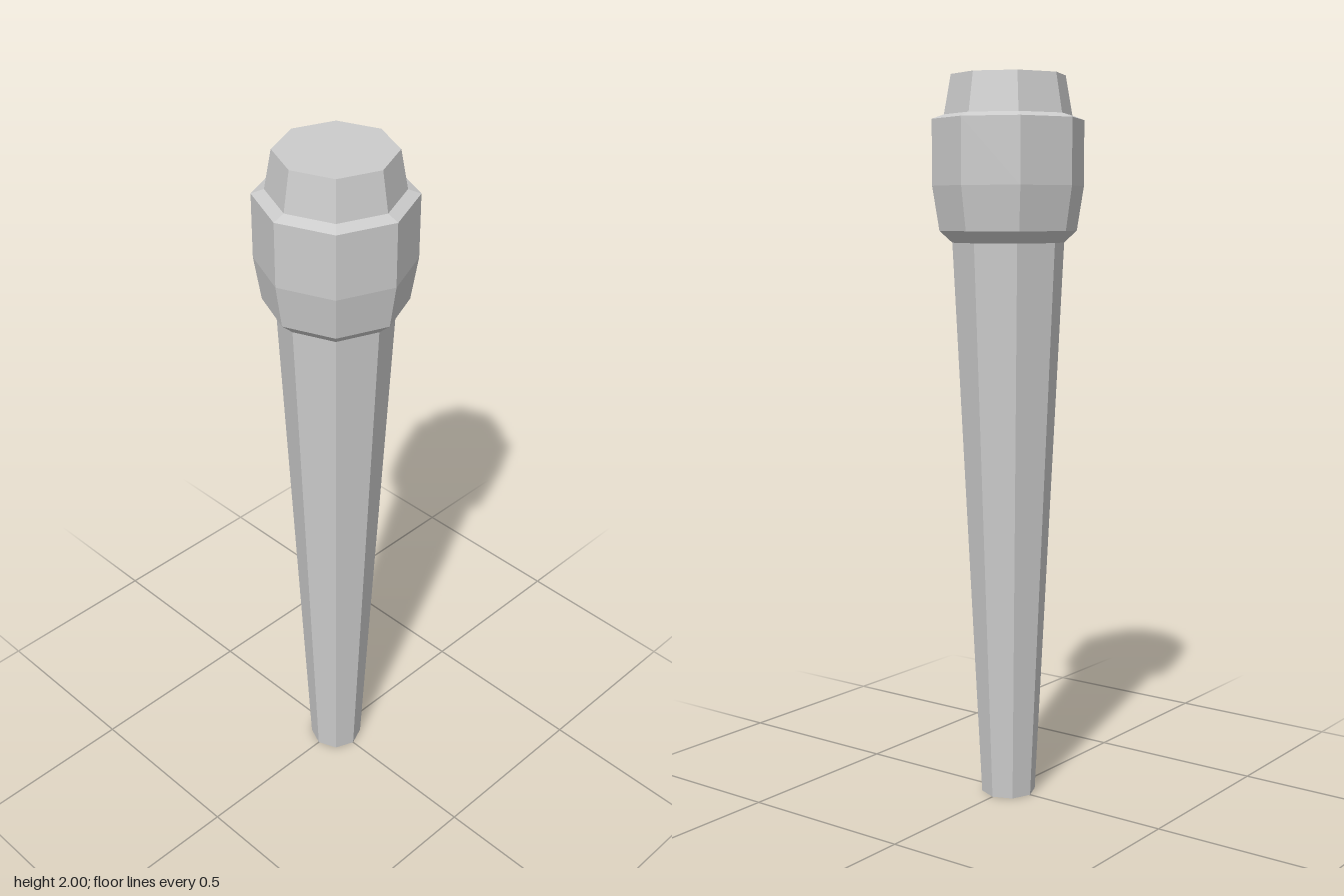
import * as THREE from 'three';

const SIDES = 8;

export function createModel() {
  const group = new THREE.Group();
  const material = new THREE.MeshStandardMaterial({ color: 0xcccccc, flatShading: true });

  // Turns a [radius, height] profile, listed bottom to top, into an octagonal part
  const addTurned = (name, profile) => {
    const points = profile.map(([r, y]) => new THREE.Vector2(r, y));
    const mesh = new THREE.Mesh(new THREE.LatheGeometry(points, SIDES), material);
    mesh.name = name;
    group.add(mesh);
  };

  // Long tapered shaft, closed at the foot
  addTurned('shaft', [[0, 0], [0.076, 0], [0.154, 1.553]]);

  // Swollen collar with a bevelled underside and a shallow sloping ledge
  addTurned('collar', [[0.154, 1.553], [0.189, 1.585], [0.208, 1.705], [0.208, 1.882], [0.175, 1.894]]);

  // Tapered end cap with a flat top
  addTurned('endCap', [[0.175, 1.894], [0.156, 2], [0, 2]]);

  return group;
}
